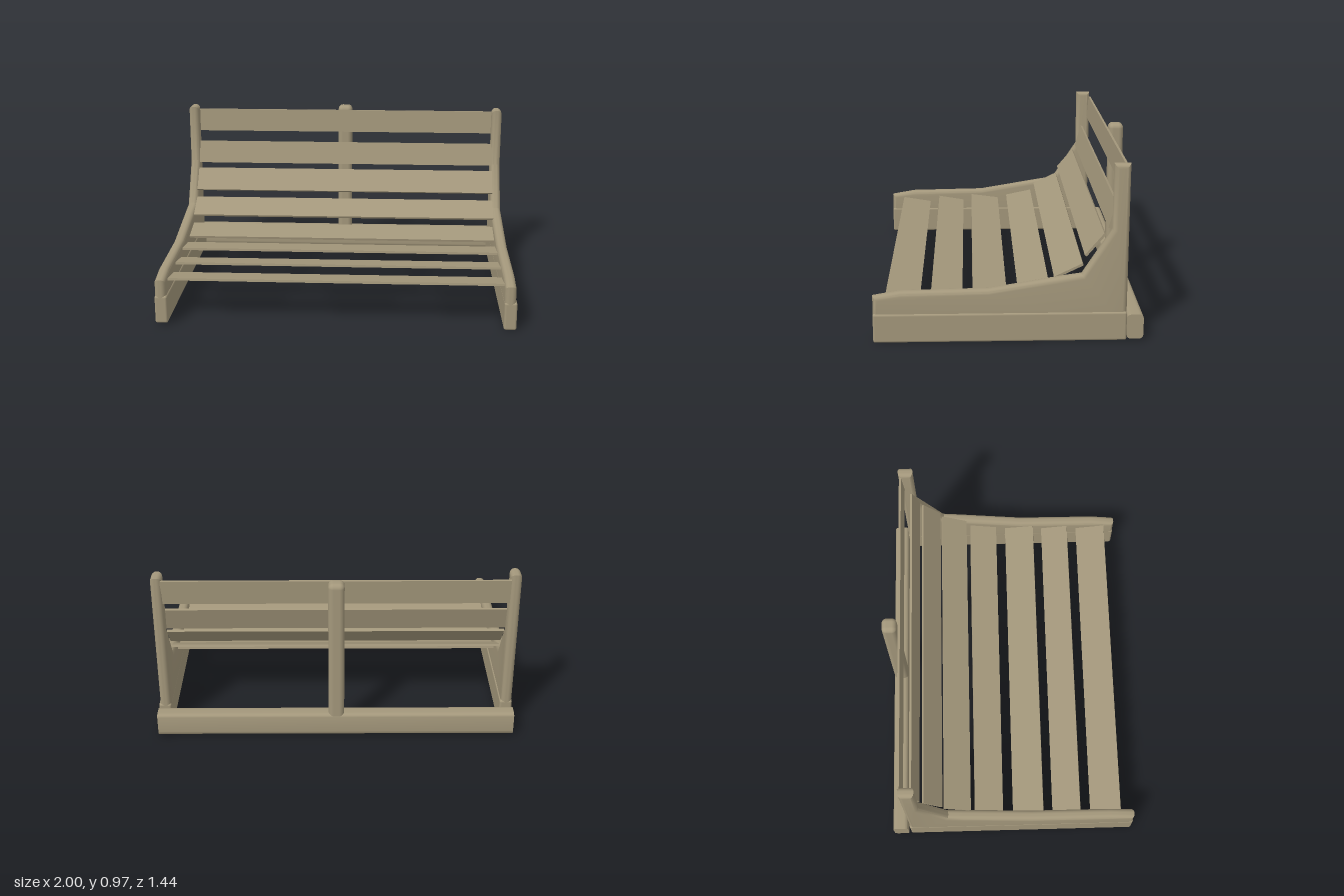
import * as THREE from 'three';
import { toCreasedNormals } from 'three/addons/utils/BufferGeometryUtils.js';
import { RoundedBoxGeometry } from 'three/addons/geometries/RoundedBoxGeometry.js';

export function createModel() {
  const bench = new THREE.Group();
  bench.name = 'slattedBench';
  const wood = new THREE.MeshStandardMaterial({ color: 0xa3977b });
  wood.name = 'weatheredWood';

  const add = (name, geometry, x = 0, y = 0, z = 0, parent = bench) => {
    const mesh = new THREE.Mesh(geometry, wood);
    mesh.name = name;
    mesh.position.set(x, y, z);
    parent.add(mesh);
    return mesh;
  };

  // Curved side cheek, outlined in (z, y), rising into a rounded back post
  const outline = [
    [0.705, 0.06], [0.705, 0.255], [0.56, 0.28], [0.1, 0.288], [-0.3, 0.355],
    [-0.39, 0.368], [-0.545, 0.61], [-0.545, 0.96], [-0.632, 0.96], [-0.632, 0.06],
  ];
  const shape = new THREE.Shape(outline.map(([z, y]) => new THREE.Vector2(z, y)));
  const bevel = 0.026;
  let cheek = new THREE.ExtrudeGeometry(shape, {
    depth: 0.01, bevelThickness: bevel, bevelSize: bevel, bevelOffset: -bevel, bevelSegments: 5,
  });
  cheek.translate(0, 0, -0.005);
  cheek.rotateY(-Math.PI / 2);
  cheek = toCreasedNormals(cheek, 0.6);

  // Each side: a straight base board under the cheek, the right one set slightly forward and up
  for (const side of [1, -1]) {
    const frame = new THREE.Group();
    frame.name = side > 0 ? 'leftSide' : 'rightSide';
    add('sideCheek', cheek, side > 0 ? 0.962 : -0.967, 0, 0, frame);
    add('baseBoard', new RoundedBoxGeometry(0.07, 0.16, 1.337, 3, 0.012), side * 0.965, 0.081, 0.0365, frame);
    if (side < 0) frame.position.set(0, 0.009, 0.012);
    bench.add(frame);
  }

  // Rounded rear beam and centre post
  const beamShape = new THREE.Shape();
  const r = 0.026, x0 = -0.044, x1 = 0.044, y0 = 0.01, y1 = 0.147;
  beamShape.moveTo(x0 + r, y0);
  beamShape.lineTo(x1 - r, y0);
  beamShape.quadraticCurveTo(x1, y0, x1, y0 + r);
  beamShape.lineTo(x1, y1 - r);
  beamShape.quadraticCurveTo(x1, y1, x1 - r, y1);
  beamShape.lineTo(x0 + r, y1);
  beamShape.quadraticCurveTo(x0, y1, x0, y1 - r);
  beamShape.lineTo(x0, y0 + r);
  beamShape.quadraticCurveTo(x0, y0, x0 + r, y0);
  const beam = new THREE.ExtrudeGeometry(beamShape, { depth: 2, bevelEnabled: false, curveSegments: 6 });
  beam.translate(0, 0, -1);
  beam.rotateY(-Math.PI / 2);
  add('rearBeam', toCreasedNormals(beam, 0.6), 0, 0, -0.676);
  add('centrePost', new RoundedBoxGeometry(0.088, 0.94, 0.086, 5, 0.028), -0.003, 0.492, -0.675);

  // Slats: front edge (z, y) to rear edge (z, y); the seat dips back, then the slats climb
  const slats = [
    [0.64, 0.243, 0.46, 0.213], [0.40, 0.25, 0.235, 0.222],
    [0.18, 0.26, 0.0, 0.236], [-0.06, 0.255, -0.225, 0.289],
    [-0.25, 0.335, -0.40, 0.408], [-0.412, 0.455, -0.512, 0.573],
    [-0.533, 0.605, -0.57, 0.74], [-0.61, 0.80, -0.62, 0.94],
  ];
  slats.forEach(([za, ya, zb, yb], i) => {
    const length = Math.hypot(zb - za, yb - ya);
    const slat = add(i < 4 ? 'seatSlat' : 'backSlat',
      new THREE.BoxGeometry(1.88, 0.013, length), 0, (ya + yb) / 2, (za + zb) / 2);
    slat.rotation.x = Math.atan2(yb - ya, za - zb);
  });

  return bench;
}
